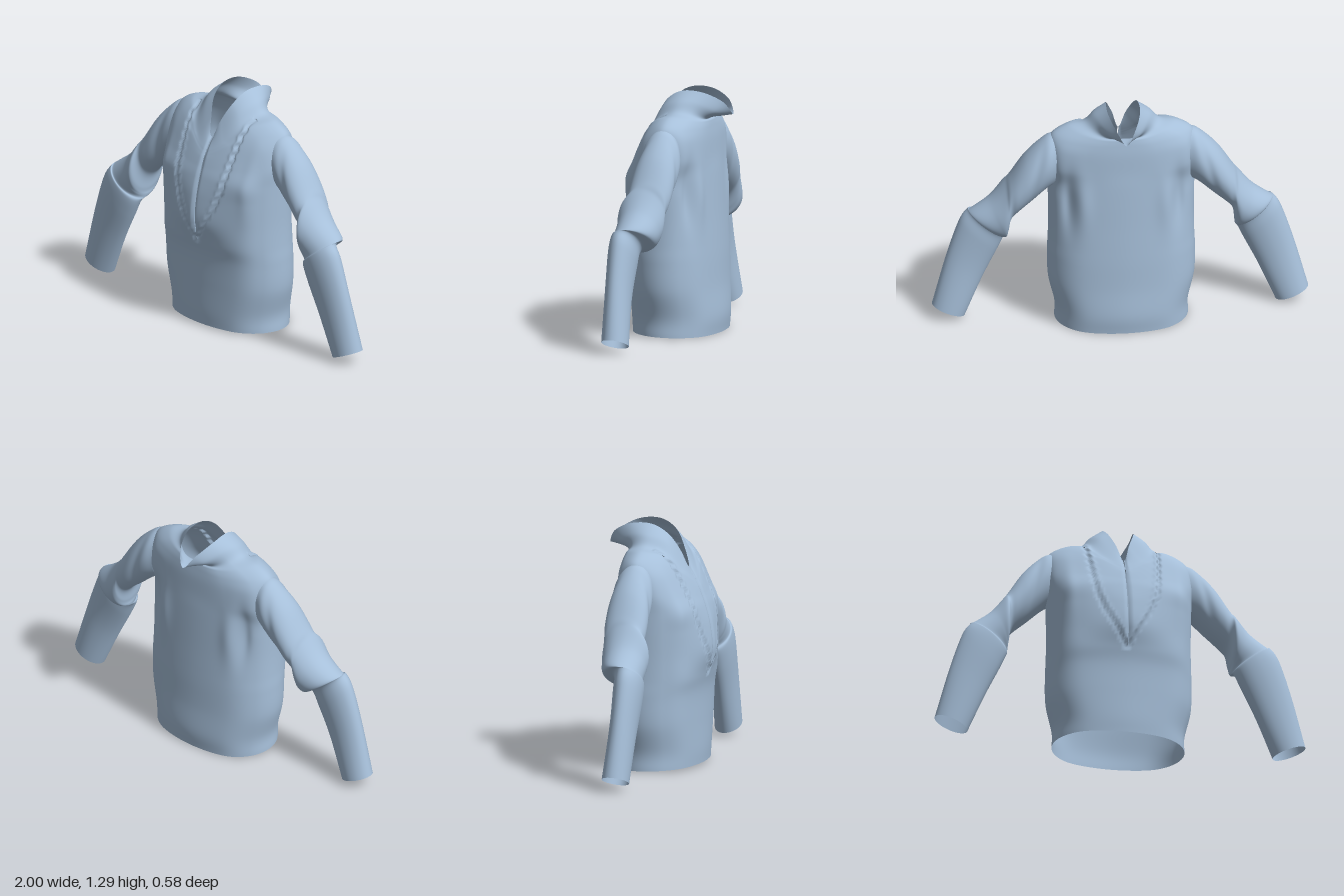
import * as THREE from 'three';
import { mergeVertices } from 'three/addons/utils/BufferGeometryUtils.js';

const cloth = new THREE.MeshStandardMaterial({ color: 0xa6bfd9, side: THREE.DoubleSide });
const V = (x, y, z) => new THREE.Vector3(x, y, z);
const bump = (d, width) => Math.exp(-((d / width) ** 2));

// Smooth surface through a stack of closed control rings; adjust(p) may move a point, isHole(p) cuts cloth away.
function loft(rings, nu, nv, adjust, isHole = () => false) {
  const columns = rings[0].map((_, k) => new THREE.CatmullRomCurve3(rings.map(r => r[k]), false, 'catmullrom'));
  const pos = [], index = [], hole = [];
  for (let j = 0; j <= nv; j++) {
    const ring = new THREE.CatmullRomCurve3(columns.map(c => c.getPoint(j / nv)), true, 'catmullrom');
    for (let i = 0; i <= nu; i++) {
      const p = ring.getPoint(i === nu ? 0 : i / nu);
      adjust(p, i / nu, j / nv);
      pos.push(p.x, p.y, p.z);
      hole.push(isHole(p));
    }
  }
  for (let j = 0; j < nv; j++) for (let i = 0; i < nu; i++) {
    const a = j * (nu + 1) + i, b = a + 1, c = a + nu + 1, d = c + 1;
    if (![a, b, c, d].some(k => hole[k])) index.push(a, b, d, a, d, c);
  }
  let g = new THREE.BufferGeometry();
  g.setAttribute('position', new THREE.Float32BufferAttribute(pos, 3));
  g.setIndex(index);
  g = mergeVertices(g, 1e-5);
  g.computeVertexNormals();
  return g;
}

// Half ring (front centre, side, back centre) mirrored into a full one
const fullRing = half => [
  ...half,
  ...half.slice(1, -1).reverse().map(p => V(-p.x, p.y, p.z)),
];

// Body: height, half width, front z, back z
const bodyRows = [
  [0.006, 0.355, 0.23, -0.23], [0.1, 0.355, 0.235, -0.238], [0.25, 0.388, 0.236, -0.227],
  [0.4, 0.392, 0.24, -0.222], [0.5, 0.388, 0.258, -0.217], [0.62, 0.386, 0.287, -0.21],
  [0.75, 0.388, 0.275, -0.203], [0.85, 0.39, 0.25, -0.197],
];

// One body section: squarer at the front of the chest, elliptical at hem and back
function bodyRing([y, w, zf, zb]) {
  const chest = THREE.MathUtils.lerp(0.8, 0.6, Math.min(1, y / 0.6));
  return fullRing([0, 1, 2, 3, 4, 5, 6].map(k => {
    const a = k * Math.PI / 6, c = Math.cos(a);
    const front = k ? Math.min(zf, 0.255) : zf;
    const x = k % 6 ? w * Math.sin(a) ** (k < 3 ? chest : 0.78) : 0;
    const hemTilt = y < 0.05 ? 0.006 * c : 0;
    return V(x, y + hemTilt, k === 3 ? 0 : (c > 0 ? front : -zb) * c);
  }));
}

// Shoulders and stand-up collar: half rings from front centre to back centre
const upperRows = [
  [[0, 0.91, 0.228], [0.225, 0.935, 0.19], [0.36, 0.95, 0.11], [0.39, 0.96, 0], [0.345, 0.95, -0.125], [0.195, 0.94, -0.175], [0, 0.94, -0.19]],
  [[0, 0.95, 0.212], [0.18, 1.0, 0.172], [0.335, 1.045, 0.095], [0.388, 1.065, -0.01], [0.34, 1.05, -0.122], [0.18, 1.04, -0.172], [0, 1.04, -0.185]],
  [[0, 0.97, 0.202], [0.145, 1.04, 0.16], [0.28, 1.105, 0.085], [0.368, 1.124, -0.02], [0.31, 1.112, -0.112], [0.155, 1.1, -0.166], [0, 1.1, -0.178]],
  [[0, 0.985, 0.194], [0.12, 1.05, 0.156], [0.215, 1.138, 0.08], [0.29, 1.168, -0.02], [0.24, 1.155, -0.108], [0.125, 1.135, -0.16], [0, 1.13, -0.173]],
  [[0, 1.0, 0.186], [0.09, 1.055, 0.154], [0.16, 1.14, 0.085], [0.2, 1.185, -0.02], [0.17, 1.18, -0.105], [0.09, 1.15, -0.16], [0, 1.145, -0.17]],
];
const collarRows = [
  [[0, 1.03, 0.167], [0.06, 1.1, 0.135], [0.118, 1.2, 0.068], [0.15, 1.24, -0.03], [0.128, 1.235, -0.13], [0.075, 1.185, -0.215], [0, 1.155, -0.235]],
  [[0, 1.05, 0.15], [0.035, 1.15, 0.112], [0.07, 1.24, 0.055], [0.085, 1.29, -0.035], [0.085, 1.285, -0.15], [0.05, 1.235, -0.25], [0, 1.165, -0.29]],
];

// Lapel seam: height and distance from the centre line
const seam = [[0.49, 0], [0.6, 0.06], [0.7, 0.12], [0.8, 0.16], [0.9, 0.175], [1.05, 0.19], [1.18, 0.2]];
function seamX(y) {
  for (let k = 1; k < seam.length; k++) {
    const [y0, x0] = seam[k - 1], [y1, x1] = seam[k];
    if (y >= y0 && y <= y1) return x0 + (x1 - x0) * (y - y0) / (y1 - y0);
  }
  return null;
}

const inArmhole = p => Math.abs(p.x) > 0.34
  && ((p.y - 0.97) / 0.125) ** 2 + ((p.z + 0.022) / 0.082) ** 2 < 1;

function torsoGeometry() {
  const rings = [
    ...bodyRows.map(bodyRing),
    ...[...upperRows, ...collarRows].map(r => fullRing(r.map(p => V(...p)))),
  ];
  return loft(rings, 240, 110, (p, u) => {
    const side = u < 0.5 ? 1 : -1, ax = Math.abs(p.x), y = p.y;
    if (p.z > 0.02) {
      // Puckered seam beside each lapel
      const s = seamX(y);
      if (s !== null) {
        const d = ax - s - 0.004 * Math.sin(y * 130);
        p.z += 0.006 * bump(d + 0.014, 0.012) - 0.017 * bump(d, 0.008);
      }
      // Front slit with nearly touching edges
      if (y > 0.5) {
        const open = Math.min(1, (y - 0.5) / 0.08);
        p.z -= 0.01 * open * bump(ax, 0.008);
        p.x += side * 0.003 * open * bump(ax, 0.03);
      }
      // Soft drape folds falling from the shoulder
      p.z += 0.008 * bump(ax - 0.3, 0.035) * bump(y - 0.85, 0.18);
    } else if (p.z < -0.02) {
      // Folds behind the armpits
      p.z += (0.026 * bump(ax - 0.29, 0.035) - 0.012 * bump(ax - 0.22, 0.045)) * bump(y - 0.76, 0.15);
    }
  }, inArmhole);
}

// Sleeve sections: upper x, y; lower x, y; centre z; half depth
const sleeveRows = [
  [0.35, 1.122, 0.36, 0.825, -0.022, 0.096], [0.41, 1.098, 0.41, 0.795, -0.025, 0.11],
  [0.51, 0.998, 0.49, 0.72, -0.02, 0.116], [0.592, 0.872, 0.582, 0.632, -0.012, 0.116],
  [0.625, 0.822, 0.602, 0.545, 0.008, 0.13], [0.7, 0.732, 0.604, 0.515, 0.01, 0.122],
  [0.8, 0.655, 0.607, 0.5, 0.022, 0.107], [0.81, 0.64, 0.615, 0.48, 0.06, 0.078],
  [0.855, 0.57, 0.655, 0.39, 0.066, 0.074], [0.922, 0.37, 0.732, 0.23, 0.064, 0.067],
  [1.0, 0.085, 0.825, 0.015, 0.053, 0.071],
];

function sleeveGeometry() {
  const rings = sleeveRows.map(([tx, ty, bx, by, zc, r]) => Array.from({ length: 12 }, (_, k) => {
    const a = k * Math.PI / 6, c = Math.cos(a) / 2;
    return V((tx + bx) / 2 + (tx - bx) * c, (ty + by) / 2 + (ty - by) * c, zc + r * Math.sin(a));
  }));
  return loft(rings, 72, 120, (p, u, v) => {
    // Cloth pinched where the arm bends, on the front and back faces
    const face = Math.sin(u * 2 * Math.PI);
    p.z -= 0.01 * face * bump(p.x - 0.59, 0.02) * bump(p.y - 0.67, 0.12);
    // Long pleat below the shoulder
    p.z -= 0.008 * face * bump(p.x - 0.45 - 0.25 * (0.95 - p.y), 0.025) * bump(v - 0.16, 0.12);
  });
}

export function createModel() {
  const group = new THREE.Group();
  group.name = 'pulloverShirt';

  const torso = new THREE.Mesh(torsoGeometry(), cloth);
  torso.name = 'torsoAndCollar';
  group.add(torso);

  const sleeve = sleeveGeometry();
  for (const [name, sign] of [['leftSleeve', 1], ['rightSleeve', -1]]) {
    const mesh = new THREE.Mesh(sleeve, cloth);
    mesh.name = name;
    mesh.scale.x = sign;
    group.add(mesh);
  }
  return group;
}
